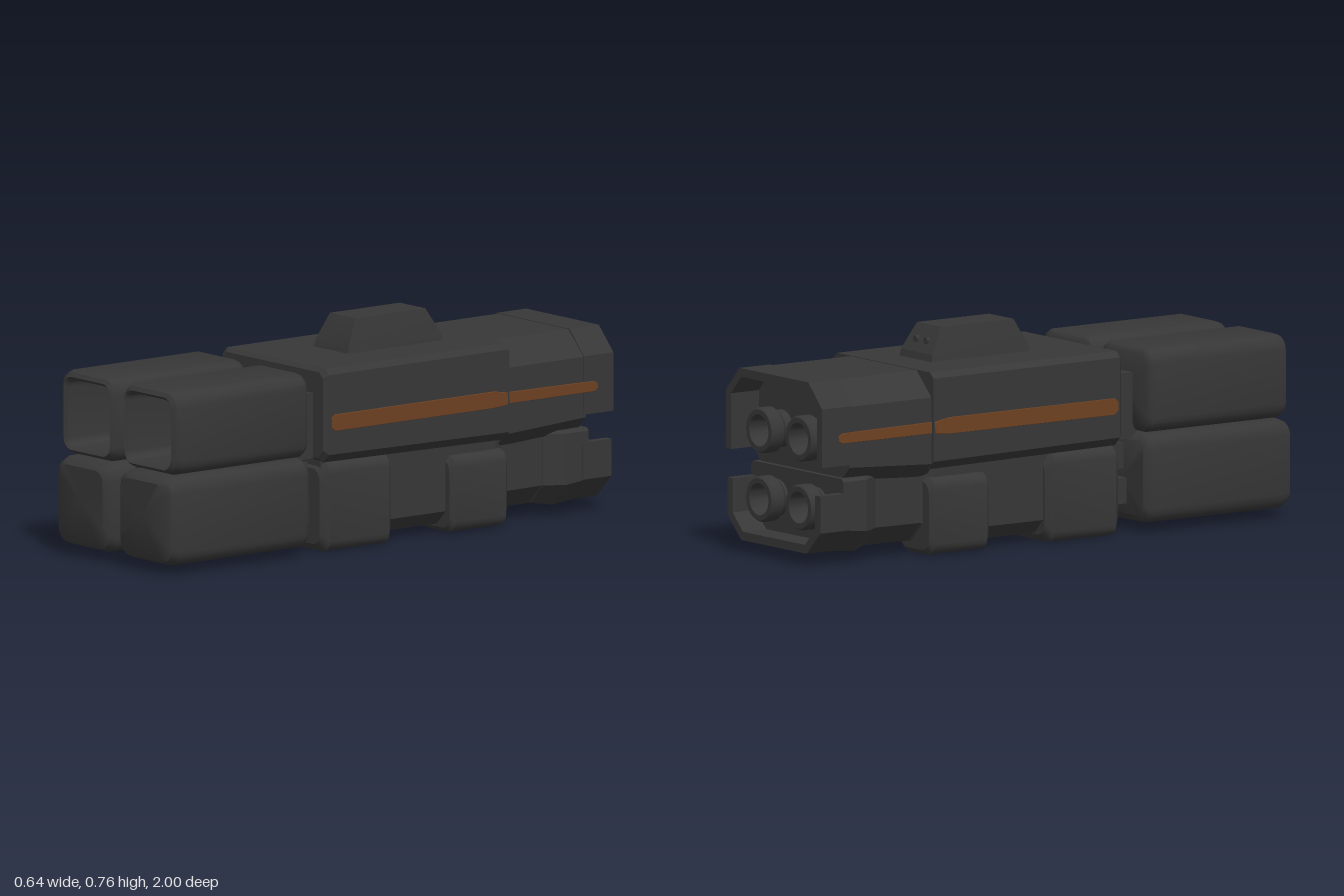
import * as THREE from 'three';
import { toCreasedNormals } from 'three/addons/utils/BufferGeometryUtils.js';

const body = new THREE.MeshStandardMaterial({ color: 0x373737 });
body.name = 'dark gunmetal';
const orange = new THREE.MeshStandardMaterial({ color: 0x6e4122 });
orange.name = 'burnt orange';

// Rectangle outline with rounded (n > 1) or chamfered (n = 1) corners, counter-clockwise
function ring([z, x0, x1, y0, y1, rTop, rBottom = rTop], n) {
  const pts = [];
  const corners = [[x1, y1, -1, -1, rTop], [x0, y1, 1, -1, rTop], [x0, y0, 1, 1, rBottom], [x1, y0, -1, 1, rBottom]];
  corners.forEach(([x, y, sx, sy, r], k) => {
    for (let i = 0; i <= n; i++) {
      const a = (k + i / n) * Math.PI / 2;
      pts.push([x + sx * r + r * Math.cos(a), y + sy * r + r * Math.sin(a), z]);
    }
  });
  return pts;
}

// Skin through sections [z, x0, x1, y0, y1, rTop, rBottom], back to front, capped at both ends
function loft(sections, n = 4, crease = 0.6) {
  const rings = sections.map(s => ring(s, n));
  const count = rings[0].length, pos = [];
  const tri = (...p) => p.forEach(v => pos.push(...v));
  const mid = s => [(s[1] + s[2]) / 2, (s[3] + s[4]) / 2, s[0]];
  const first = mid(sections[0]), last = mid(sections[sections.length - 1]);
  for (let j = 0; j < count; j++) {
    const k = (j + 1) % count;
    for (let i = 0; i < rings.length - 1; i++) {
      const a = rings[i], b = rings[i + 1];
      tri(a[j], a[k], b[k]);
      tri(a[j], b[k], b[j]);
    }
    tri(first, rings[0][k], rings[0][j]);
    const end = rings[rings.length - 1];
    tri(last, end[j], end[k]);
  }
  const g = new THREE.BufferGeometry();
  g.setAttribute('position', new THREE.Float32BufferAttribute(pos, 3));
  return toCreasedNormals(g, crease);
}

// Mirror sections to the other side of x = 0
const flip = (sections, s) => sections.map(([z, a, b, ...rest]) => s > 0 ? [z, a, b, ...rest] : [z, -b, -a, ...rest]);

// Block with softened ends
function block(z0, z1, x0, x1, y0, y1, r, e = 0.02) {
  return [
    [z0, x0 + e, x1 - e, y0 + e, y1 - e, r], [z0 + e, x0, x1, y0, y1, r],
    [z1 - e, x0, x1, y0, y1, r], [z1, x0 + e, x1 - e, y0 + e, y1 - e, r],
  ];
}

export function createModel() {
  const model = new THREE.Group();
  const add = (name, geometry, material = body) => {
    const m = new THREE.Mesh(geometry, material);
    m.name = name;
    model.add(m);
    return m;
  };
  const box = (name, x0, x1, y0, y1, z0, z1) => {
    add(name, new THREE.BoxGeometry(x1 - x0, y1 - y0, z1 - z0))
      .position.set((x0 + x1) / 2, (y0 + y1) / 2, (z0 + z1) / 2);
  };

  // Upper housing, with chamfered rear half
  add('upperHousing', loft([
    [-0.53, -0.29, 0.29, 0.31, 0.65, 0.02, 0.03],
    [-0.5, -0.29, 0.29, 0.31, 0.65, 0.02, 0.03],
    [0.27, -0.29, 0.29, 0.32, 0.65, 0.02, 0.03],
    [0.285, -0.275, 0.275, 0.335, 0.637, 0.02, 0.03],
  ], 1, 0.3));
  add('rearHousing', loft([
    [-0.88, -0.278, 0.278, 0.3, 0.648, 0.085, 0.05],
    [-0.52, -0.278, 0.278, 0.28, 0.648, 0.085, 0.05],
  ], 1, 0.3));

  // Open hood and tub around the exhaust nozzles
  const shell = (name, points, z0, z1) => {
    const g = new THREE.ExtrudeGeometry(new THREE.Shape(points.map(p => new THREE.Vector2(...p))),
      { depth: z1 - z0, bevelEnabled: false });
    add(name, g.translate(0, 0, z0));
  };
  shell('rearHood', [
    [0.28, 0.36], [0.28, 0.565], [0.2, 0.65], [-0.2, 0.65], [-0.28, 0.565], [-0.28, 0.36],
    [-0.25, 0.36], [-0.25, 0.555], [-0.19, 0.62], [0.19, 0.62], [0.25, 0.555], [0.25, 0.36],
  ], -1, -0.87);
  shell('rearTub', [
    [-0.27, 0.26], [-0.27, 0.13], [-0.19, 0.05], [0.19, 0.05], [0.27, 0.13], [0.27, 0.26],
    [0.24, 0.26], [0.24, 0.14], [0.18, 0.08], [-0.18, 0.08], [-0.24, 0.14], [-0.24, 0.26],
  ], -1, -0.87);
  add('tubBase', loft([
    [-0.9, -0.268, 0.268, 0.05, 0.31, 0.01, 0.08],
    [-0.8, -0.268, 0.268, 0.04, 0.31, 0.01, 0.08],
    [-0.73, -0.225, 0.225, 0.05, 0.31, 0.01, 0.07],
  ], 1, 0.3));

  // Four nozzles
  const profile = [[0.065, 0], [0.065, 0.05], [0.08, 0.07], [0.08, 0.11], [0.074, 0.12], [0.056, 0.12], [0.045, 0.04], [0, 0.04]];
  const nozzle = toCreasedNormals(
    new THREE.LatheGeometry(profile.map(p => new THREE.Vector2(...p)), 28).rotateX(-Math.PI / 2), 0.5);
  for (const x of [-0.115, 0.115]) for (const y of [0.2, 0.44]) {
    add('nozzle', nozzle).position.set(x, y, -0.86);
  }

  // Lower housing
  add('lowerHousing', loft([
    [-0.76, -0.22, 0.22, 0.05, 0.32, 0.01, 0.07],
    [-0.54, -0.23, 0.23, 0.05, 0.32, 0.01, 0.07],
    [-0.5, -0.25, 0.25, 0.035, 0.33, 0.01, 0.05],
    [0.02, -0.25, 0.25, 0.035, 0.33, 0.01, 0.05],
    [0.275, -0.25, 0.25, 0.04, 0.33, 0.01, 0.05],
  ], 1, 0.3));

  for (const s of [-1, 1]) {
    // Lower side pads and brackets
    add('frontPad', loft(flip(block(-0.03, 0.285, 0.045, 0.282, 0.005, 0.32, 0.04, 0.025), s)));
    add('sideBracket', loft(flip(block(-0.535, -0.28, 0.09, 0.285, 0.01, 0.28, 0.04, 0.015), s)));

    // Stripe
    add('sideStripe', loft(flip([
      [-0.93, 0.273, 0.283, 0.447, 0.463, 0.001],
      [-0.915, 0.273, 0.283, 0.438, 0.474, 0.001],
      [-0.53, 0.273, 0.283, 0.438, 0.478, 0.001],
      [-0.52, 0.285, 0.294, 0.437, 0.48, 0.001],
      [-0.46, 0.285, 0.294, 0.432, 0.49, 0.001],
      [0.245, 0.285, 0.294, 0.432, 0.49, 0.001],
      [0.26, 0.285, 0.294, 0.445, 0.478, 0.001],
    ], s), 1), orange);

    // Open upper pod, its skin turning inward at the mouth
    add('openPod', loft(flip([
      [0.375, 0.045, 0.295, 0.38, 0.627, 0.04],
      [0.385, 0.027, 0.312, 0.362, 0.643, 0.05],
      [0.4, 0.02, 0.32, 0.354, 0.65, 0.055],
      [0.94, 0.02, 0.32, 0.354, 0.65, 0.055],
      [0.965, 0.028, 0.312, 0.362, 0.642, 0.05],
      [0.975, 0.04, 0.295, 0.372, 0.628, 0.04],
      [0.965, 0.048, 0.282, 0.38, 0.618, 0.03],
      [0.45, 0.056, 0.274, 0.388, 0.61, 0.03],
    ], s)));

    // Closed lower pod
    add('closedPod', loft(flip([
      [0.365, 0.045, 0.295, 0.065, 0.325, 0.04],
      [0.378, 0.027, 0.312, 0.046, 0.343, 0.05],
      [0.395, 0.02, 0.32, 0.038, 0.351, 0.055],
      [0.955, 0.02, 0.32, 0.038, 0.351, 0.055],
      [0.985, 0.03, 0.31, 0.05, 0.34, 0.05],
      [1, 0.05, 0.285, 0.085, 0.325, 0.04],
    ], s)));

    // Couplings between pods and housing
    const span = (a, b) => s > 0 ? [a, b] : [-b, -a];
    box('upperCoupling', ...span(0.04, 0.22), 0.33, 0.56, 0.27, 0.39);
    box('lowerCoupling', ...span(0.05, 0.2), 0.1, 0.19, 0.27, 0.38);
    box('lowerCoupling', ...span(0.06, 0.18), 0.22, 0.31, 0.27, 0.38);
  }

  // Slots and studs at the back of the open pods
  const pill = (x, y, length) => add('podFitting', new THREE.CapsuleGeometry(0.018, length, 4, 12)).position.set(x, y, 0.455);
  pill(-0.235, 0.49, 0.11);
  pill(0.235, 0.51, 0.06);
  pill(0.235, 0.435, 0.005);

  // Web joining the pods
  box('podWeb', -0.03, 0.03, 0.09, 0.59, 0.4, 0.87);

  // Tapered sight block on top
  const sight = new THREE.BoxGeometry(1, 1, 1, 1, 2, 1);
  const p = sight.attributes.position;
  for (let i = 0; i < p.count; i++) {
    const level = Math.round((p.getY(i) + 0.5) * 2);
    const halfX = [0.095, 0.091, 0.07][level];
    const front = [0.03, 0.022, -0.025][level], back = [-0.395, -0.388, -0.335][level];
    p.setXYZ(i, Math.sign(p.getX(i)) * halfX, [0.64, 0.675, 0.765][level], p.getZ(i) > 0 ? front : back);
  }
  add('sightBlock', toCreasedNormals(sight, 0.3));
  for (const x of [-0.03, 0.03]) {
    const lens = add('sightLens', new THREE.CylinderGeometry(0.012, 0.012, 0.02, 12).rotateX(Math.PI / 2));
    lens.position.set(x, 0.715, -0.363);
  }

  return model;
}
